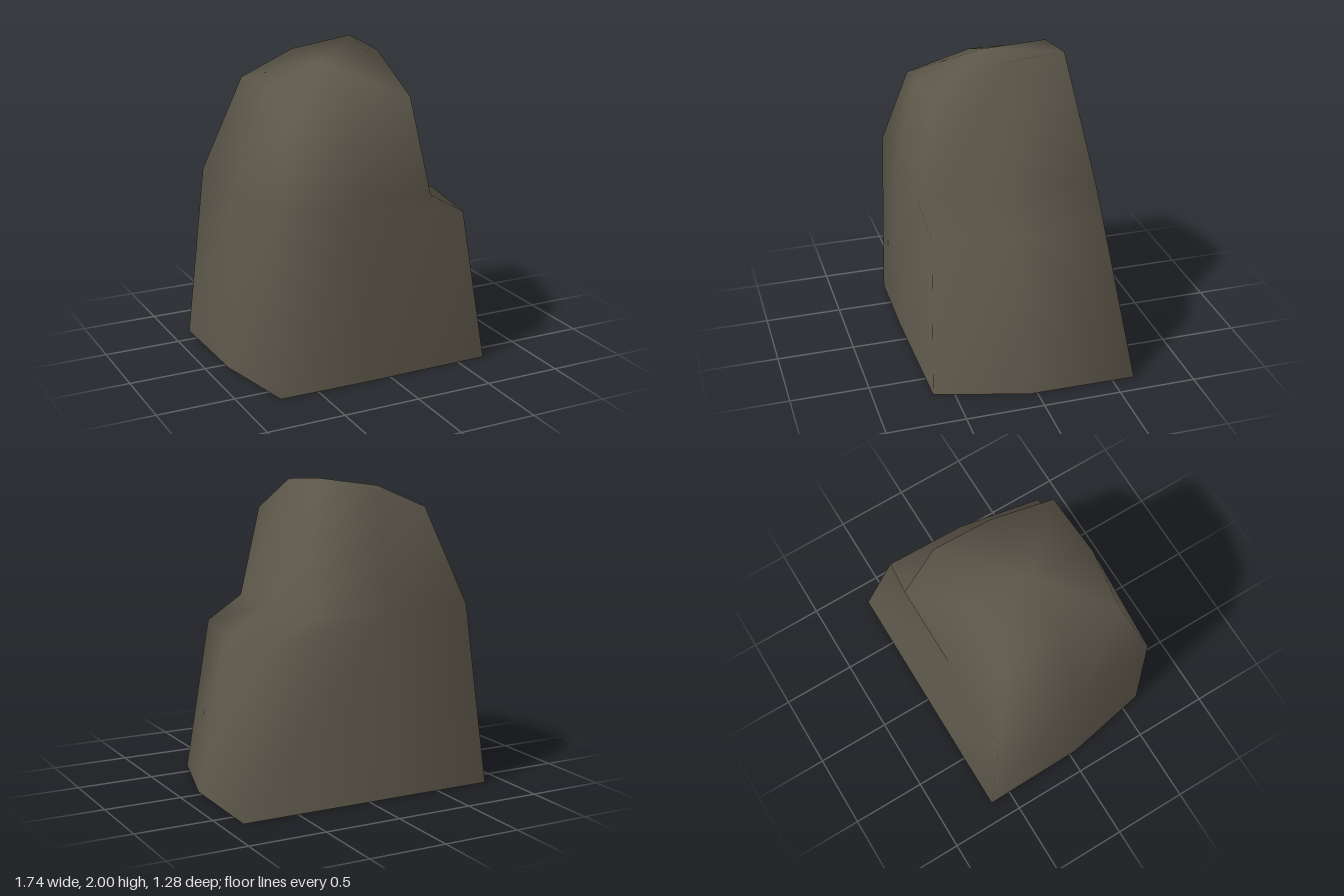
import * as THREE from 'three';
import { mergeVertices } from 'three/addons/utils/BufferGeometryUtils.js';

// Each ring runs: back left edge, back, back right, right, front right, front, front left, left (x, y, z)
const base = [
  [-0.87, 0, -0.645], [-0.2, 0, -0.645], [0.865, 0, -0.645], [0.855, 0, 0.05],
  [0.69, 0, 0.63], [-0.2, 0, 0.64], [-0.75, 0, 0.63], [-0.86, 0, 0.05],
];
// Shoulder: the ledge and the notch share every point except the three on the stepped side
const notch = [
  [-0.78, 1.17, -0.52], [-0.2, 1.17, -0.53], [0.37, 1.17, -0.53], [0.34, 1.17, 0.04],
  [0.29, 1.15, 0.6], [-0.2, 1.17, 0.63], [-0.74, 1.15, 0.6], [-0.78, 1.17, 0.05],
];
const ledge = notch.map((p) => [...p]);
ledge[2] = [0.65, 1.0, -0.49];
ledge[3] = [0.64, 1.0, 0.04];
ledge[4] = [0.54, 1.0, 0.58];
const crown = [
  [-0.56, 1.79, -0.36], [-0.2, 1.94, -0.375], [0.21, 2.0, -0.36], [0.21, 1.97, 0.03],
  [0.21, 1.75, 0.47], [-0.2, 1.75, 0.49], [-0.58, 1.67, 0.45], [-0.55, 1.8, 0.04],
];
const peak = [-0.2, 1.92, 0.03];

// Loft the rings, close the top with a fan and leave the base open
function rockGeometry() {
  const positions = [];
  const face = (a, b, c) => {
    const same = (p, q) => p.every((v, k) => v === q[k]);
    if (!same(a, b) && !same(b, c) && !same(c, a)) positions.push(...a, ...b, ...c);
  };
  const rings = [base, ledge, notch, crown];
  const n = base.length;
  for (let r = 0; r < rings.length - 1; r++) {
    for (let i = 0; i < n; i++) {
      const j = (i + 1) % n;
      const low = rings[r], high = rings[r + 1];
      face(low[j], low[i], high[i]);
      face(low[j], high[i], high[j]);
    }
  }
  for (let i = 0; i < n; i++) face(peak, crown[(i + 1) % n], crown[i]);

  const soup = new THREE.BufferGeometry();
  soup.setAttribute('position', new THREE.Float32BufferAttribute(positions, 3));
  const geometry = mergeVertices(soup);
  geometry.computeVertexNormals();
  return geometry;
}

export function createModel() {
  const group = new THREE.Group();
  group.name = 'rock';
  const stone = new THREE.MeshStandardMaterial({ color: 0x5e584b, side: THREE.DoubleSide });
  stone.name = 'stone';
  const boulder = new THREE.Mesh(rockGeometry(), stone);
  boulder.name = 'boulder';
  group.add(boulder);
  return group;
}
